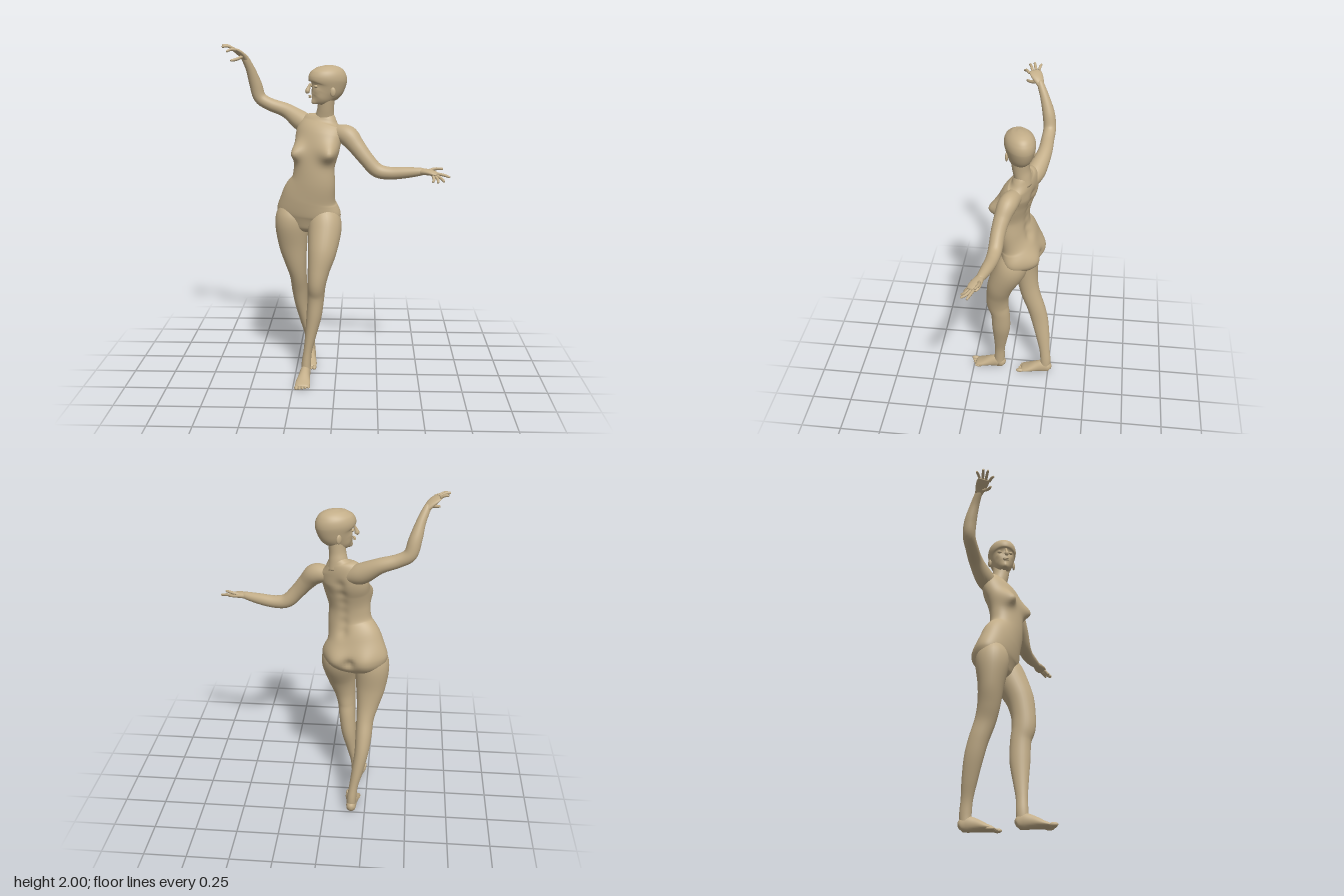
import * as THREE from 'three';

const V = (x, y, z) => new THREE.Vector3(x, y, z);
const UP = V(0, 1, 0);
const skin = new THREE.MeshStandardMaterial({ color: 0xc2ad88 });
skin.name = 'warm clay';

// Skin through elliptical sections [x, y, z, half width, half depth, yaw in degrees].
// A fixed ref direction replaces the yaw when given; bulges are [x, y, z, radius, push vector].
function loft(name, sections, { ref = null, around = 28, steps = 6, bulges = [] } = {}) {
  const path = new THREE.CatmullRomCurve3(sections.map(s => V(s[0], s[1], s[2])), false, 'catmullrom', 0.5);
  const size = new THREE.CatmullRomCurve3(sections.map(s => V(s[3], s[4], s[5] || 0)), false, 'catmullrom', 0.5);
  const rows = (sections.length - 1) * steps;
  const pos = [], index = [];
  for (let i = 0; i <= rows; i++) {
    const t = i / rows, c = path.getPoint(t), s = size.getPoint(t), tangent = path.getTangent(t);
    const yaw = THREE.MathUtils.degToRad(s.z);
    const facing = ref || V(Math.sin(yaw), 0, Math.cos(yaw));
    const side = tangent.clone().cross(facing).normalize();
    const front = side.clone().cross(tangent).normalize();
    for (let j = 0; j < around; j++) {
      const a = j / around * Math.PI * 2;
      const p = c.clone().addScaledVector(side, Math.cos(a) * Math.max(s.x, 0.001))
        .addScaledVector(front, Math.sin(a) * Math.max(s.y, 0.001));
      pos.push(p.x, p.y, p.z);
      if (i === rows) continue;
      const k = (j + 1) % around, lo = i * around, hi = lo + around;
      index.push(lo + j, hi + j, lo + k, hi + j, hi + k, lo + k);
    }
  }
  // End caps
  const first = path.getPoint(0), last = path.getPoint(1), n = pos.length / 3;
  pos.push(first.x, first.y, first.z, last.x, last.y, last.z);
  for (let j = 0; j < around; j++) {
    const k = (j + 1) % around, top = rows * around;
    index.push(n, j, k, n + 1, top + k, top + j);
  }
  // Soft local swellings and hollows
  for (let i = 0; i < pos.length; i += 3) {
    const p = V(pos[i], pos[i + 1], pos[i + 2]);
    for (const [x, y, z, r, push] of bulges) {
      const w = Math.exp(-p.distanceToSquared(V(x, y, z)) / (r * r));
      pos[i] += push[0] * w; pos[i + 1] += push[1] * w; pos[i + 2] += push[2] * w;
    }
  }
  const g = new THREE.BufferGeometry();
  g.setAttribute('position', new THREE.Float32BufferAttribute(pos, 3));
  g.setIndex(index);
  g.computeVertexNormals();
  const mesh = new THREE.Mesh(g, skin);
  mesh.name = name;
  return mesh;
}

function ball(name, x, y, z, sx, sy, sz) {
  const m = new THREE.Mesh(new THREE.SphereGeometry(1, 20, 14), skin);
  m.name = name;
  m.position.set(x, y, z);
  m.scale.set(sx, sy, sz);
  return m;
}

// Finger through base, bent middle and tip
const digit = (name, a, b, c, r) => loft(name, [
  [...a, r, r], [...b, r * 0.95, r * 0.95], [...c, r * 0.75, r * 0.75],
  [...c.map((v, i) => v + (v - b[i]) * 0.12), 0.002, 0.002]], { ref: UP, around: 10, steps: 4 });

function hand(name, palm, fingers, thumb) {
  const g = new THREE.Group();
  g.name = name;
  g.add(loft('palm', palm, { ref: UP, around: 20 }));
  fingers.forEach(f => g.add(digit('finger', ...f, 0.0085)));
  g.add(digit('thumb', ...thumb, 0.0095));
  return g;
}

// Foot pointing forwards; inner is the x direction of the big toe
function foot(name, x, z, inner, drift) {
  const g = new THREE.Group();
  g.name = name;
  const at = d => x + drift * d / 0.2;
  g.add(loft('sole', [
    [at(0), 0.03, z - 0.002, 0.008, 0.01], [at(0), 0.036, z + 0.012, 0.026, 0.034],
    [at(0.04), 0.045, z + 0.045, 0.031, 0.045], [at(0.09), 0.038, z + 0.09, 0.034, 0.038],
    [at(0.15), 0.022, z + 0.15, 0.044, 0.022], [at(0.18), 0.014, z + 0.185, 0.042, 0.013],
    [at(0.19), 0.012, z + 0.197, 0.03, 0.006]], { ref: UP }));
  for (let i = 0; i < 5; i++) {
    const r = i ? 0.009 : 0.013;
    g.add(ball('toe', at(0.19) + inner * (0.032 - i * 0.0175), r, z + 0.205 - i * 0.007, r, r, 0.025));
  }
  return g;
}

function head() {
  const g = new THREE.Group();
  g.name = 'head';
  const mirror = f => [f(1), f(-1)];
  g.add(loft('skull', [
    [0, -0.112, 0.07, 0.012, 0.014], [0, -0.105, 0.068, 0.028, 0.03], [0, -0.085, 0.052, 0.048, 0.055],
    [0, -0.055, 0.03, 0.062, 0.08], [0, -0.015, 0.008, 0.076, 0.106], [0, 0.03, 0, 0.085, 0.116],
    [0, 0.07, -0.004, 0.076, 0.102], [0, 0.098, -0.005, 0.048, 0.067], [0, 0.11, -0.005, 0.012, 0.018]],
  { around: 64, steps: 8, bulges: [
    ...mirror(s => [s * 0.034, -0.008, 0.108, 0.02, [0, 0, -0.014]]),
    ...mirror(s => [s * 0.045, -0.035, 0.09, 0.02, [s * 0.003, 0, 0.005]]),
    [0, -0.068, 0.108, 0.014, [0, 0, 0.009]],
    [0, -0.1, 0.098, 0.02, [0, 0, 0.008]]] }));
  g.add(loft('nose', [
    [0, 0.008, 0.106, 0.006, 0.006], [0, -0.015, 0.116, 0.008, 0.01],
    [0, -0.036, 0.124, 0.013, 0.014], [0, -0.046, 0.118, 0.008, 0.01]], { around: 16 }));
  mirror(s => {
    g.add(ball('eye', s * 0.034, -0.008, 0.084, 0.014, 0.009, 0.012));
    const ear = ball('ear', s * 0.076, -0.04, -0.004, 0.009, 0.027, 0.017);
    ear.rotation.y = -s * 0.35;
    g.add(ear);
  });
  for (const y of [-0.063, -0.072]) g.add(ball('lip', 0, y, 0.109, 0.019, 0.005, 0.008));
  g.position.set(-0.05, 1.77, -0.06);
  g.rotation.y = THREE.MathUtils.degToRad(-68);
  return g;
}

export function createModel() {
  const model = new THREE.Group();
  model.name = 'dancing figure';

  // Torso, twisting from the hips to the shoulders
  const spine = [1.16, 1.22, 1.28, 1.34, 1.4, 1.46].map((y, i) =>
    [-0.1 + i * 0.004, y, -0.115 - i * 0.005, 0.032, [-0.006, 0, 0.014]]);
  model.add(loft('torso', [
    [-0.17, 0.895, -0.06, 0.05, 0.04, -15], [-0.17, 0.925, -0.06, 0.13, 0.075, -15],
    [-0.167, 1.0, -0.065, 0.197, 0.102, -15], [-0.16, 1.1, -0.05, 0.17, 0.104, -15],
    [-0.135, 1.2, -0.022, 0.136, 0.09, -18], [-0.128, 1.3, -0.02, 0.125, 0.085, -22],
    [-0.113, 1.4, -0.034, 0.14, 0.088, -25], [-0.1, 1.48, -0.06, 0.148, 0.086, -25],
    [-0.083, 1.54, -0.077, 0.132, 0.064, -25], [-0.07, 1.58, -0.078, 0.075, 0.05, -25],
    [-0.067, 1.605, -0.075, 0.045, 0.04, -25]],
  { around: 72, steps: 8, bulges: [
    [-0.045, 1.385, 0.068, 0.052, [0.012, -0.008, 0.052]],
    [-0.23, 1.385, -0.005, 0.052, [-0.03, -0.008, 0.05]],
    [-0.23, 0.995, -0.17, 0.08, [0.004, 0, -0.032]],
    [-0.06, 0.995, -0.13, 0.08, [0.012, 0, -0.042]],
    [-0.14, 0.99, -0.165, 0.028, [-0.006, 0, 0.025]], ...spine] }));

  model.add(loft('neck', [
    [-0.07, 1.54, -0.082, 0.062, 0.05], [-0.067, 1.59, -0.075, 0.054, 0.05],
    [-0.062, 1.64, -0.066, 0.048, 0.05], [-0.055, 1.72, -0.06, 0.05, 0.055]]));
  model.add(head());

  // Legs: the left steps forward and crosses the right
  model.add(loft('leftLeg', [
    [-0.08, 1.07, -0.045, 0.05, 0.05], [-0.073, 1.01, -0.035, 0.085, 0.085],
    [-0.067, 0.93, -0.008, 0.1, 0.097], [-0.08, 0.8, 0.05, 0.086, 0.083],
    [-0.1, 0.69, 0.075, 0.066, 0.071], [-0.113, 0.6, 0.078, 0.055, 0.068],
    [-0.118, 0.52, 0.062, 0.05, 0.06], [-0.13, 0.4, 0.059, 0.046, 0.058],
    [-0.15, 0.28, 0.066, 0.034, 0.044], [-0.168, 0.18, 0.073, 0.026, 0.033],
    [-0.178, 0.1, 0.076, 0.028, 0.034], [-0.18, 0.035, 0.08, 0.028, 0.034]]));
  model.add(loft('rightLeg', [
    [-0.255, 1.07, -0.07, 0.05, 0.05], [-0.265, 1.01, -0.078, 0.09, 0.085],
    [-0.27, 0.93, -0.08, 0.1, 0.094], [-0.264, 0.8, -0.087, 0.086, 0.073],
    [-0.25, 0.69, -0.1, 0.066, 0.064], [-0.237, 0.6, -0.122, 0.052, 0.06],
    [-0.231, 0.5, -0.157, 0.048, 0.057], [-0.222, 0.4, -0.184, 0.042, 0.054],
    [-0.2, 0.28, -0.208, 0.034, 0.044], [-0.18, 0.18, -0.224, 0.027, 0.034],
    [-0.17, 0.1, -0.232, 0.028, 0.034], [-0.167, 0.035, -0.23, 0.028, 0.032]]));
  model.add(foot('leftFoot', -0.18, 0.042, -1, -0.015));
  model.add(foot('rightFoot', -0.167, -0.268, 1, -0.003));

  // Arms
  model.add(loft('rightArm', [
    [-0.12, 1.51, -0.1, 0.045, 0.045], [-0.2, 1.54, -0.138, 0.06, 0.056],
    [-0.3, 1.603, -0.177, 0.044, 0.043], [-0.4, 1.64, -0.187, 0.038, 0.038],
    [-0.462, 1.68, -0.192, 0.038, 0.037], [-0.486, 1.76, -0.182, 0.037, 0.036],
    [-0.512, 1.85, -0.155, 0.027, 0.027], [-0.54, 1.917, -0.127, 0.021, 0.02],
    [-0.55, 1.932, -0.118, 0.014, 0.014]]));
  model.add(loft('leftArm', [
    [-0.01, 1.49, -0.04, 0.045, 0.045], [0.065, 1.478, -0.008, 0.06, 0.056],
    [0.12, 1.418, 0.018, 0.05, 0.047], [0.175, 1.35, 0.035, 0.044, 0.042],
    [0.238, 1.284, 0.043, 0.042, 0.04], [0.31, 1.268, 0.052, 0.037, 0.037],
    [0.4, 1.274, 0.068, 0.033, 0.033], [0.49, 1.284, 0.088, 0.023, 0.024],
    [0.51, 1.285, 0.094, 0.014, 0.014]]));

  // Hands
  model.add(hand('rightHand', [
    [-0.532, 1.905, -0.132, 0.018, 0.018], [-0.558, 1.938, -0.113, 0.032, 0.016],
    [-0.582, 1.958, -0.097, 0.038, 0.013], [-0.602, 1.97, -0.085, 0.034, 0.007]], [
    [[-0.582, 1.965, -0.058], [-0.607, 1.968, -0.04], [-0.63, 1.958, -0.026]],
    [[-0.595, 1.972, -0.075], [-0.63, 1.986, -0.062], [-0.658, 1.983, -0.053]],
    [[-0.604, 1.974, -0.093], [-0.635, 1.99, -0.085], [-0.66, 1.991, -0.08]],
    [[-0.608, 1.972, -0.11], [-0.63, 1.985, -0.115], [-0.65, 1.988, -0.12]]],
  [[-0.553, 1.925, -0.1], [-0.578, 1.912, -0.067], [-0.608, 1.905, -0.045]]));
  model.add(hand('leftHand', [
    [0.48, 1.284, 0.086, 0.02, 0.02], [0.525, 1.284, 0.1, 0.031, 0.018],
    [0.56, 1.279, 0.112, 0.036, 0.015], [0.585, 1.272, 0.122, 0.03, 0.008]], [
    [[0.582, 1.276, 0.108], [0.62, 1.27, 0.123], [0.65, 1.262, 0.137]],
    [[0.578, 1.27, 0.123], [0.605, 1.254, 0.148], [0.617, 1.243, 0.174]],
    [[0.57, 1.268, 0.134], [0.584, 1.25, 0.158], [0.584, 1.236, 0.177]],
    [[0.557, 1.268, 0.14], [0.562, 1.25, 0.156], [0.555, 1.238, 0.166]]],
  [[0.53, 1.288, 0.09], [0.57, 1.3, 0.085], [0.61, 1.303, 0.1]]));
  return model;
}
